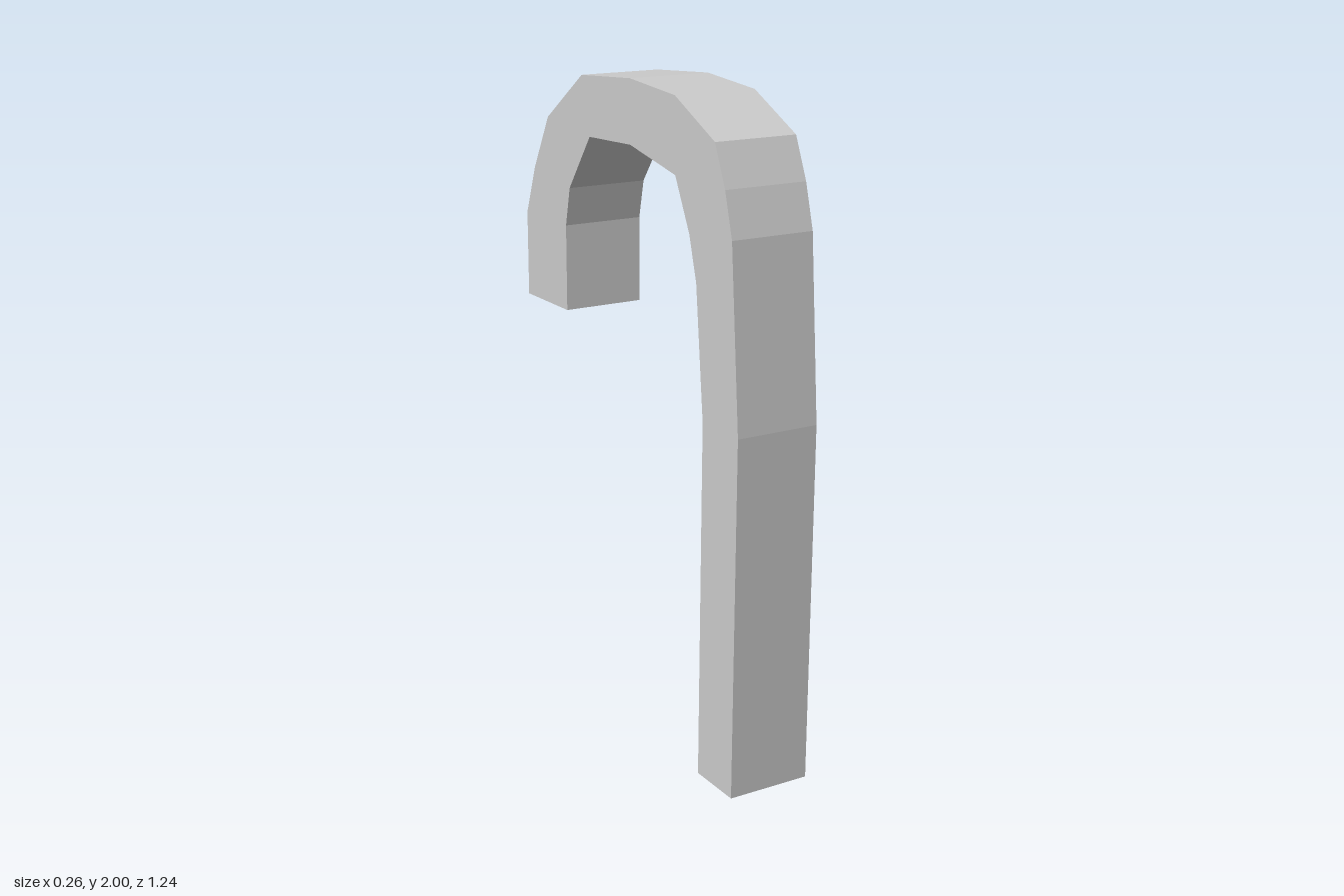
import * as THREE from 'three';

export function createModel() {
  const group = new THREE.Group();
  const width = 0.26;

  // Side profile as [z, y]: outer edge from the foot over the bend to the tip
  const outer = [
    [0.605, 0], [0.618, 1.09], [0.578, 1.63], [0.542, 1.76], [0.49, 1.88], [0.285, 1.98],
    [0.04, 2], [-0.245, 1.98], [-0.465, 1.83], [-0.56, 1.66], [-0.618, 1.51], [-0.618, 1.243],
  ];
  // Inner edge from the tip back to the foot
  const inner = [
    [-0.357, 1.243], [-0.357, 1.51], [-0.33, 1.63], [-0.2, 1.803], [0.04, 1.812],
    [0.288, 1.762], [0.363, 1.61], [0.4, 1.48], [0.438, 1.09], [0.425, 0],
  ];

  // Extrude across the width, then turn the profile into the z-y plane
  const shape = new THREE.Shape([...outer, ...inner].map(([z, y]) => new THREE.Vector2(-z, y)));
  const geometry = new THREE.ExtrudeGeometry(shape, { depth: width, bevelEnabled: false });
  geometry.translate(0, 0, -width / 2);
  geometry.rotateY(Math.PI / 2);

  const material = new THREE.MeshStandardMaterial({ color: 0xcccccc, flatShading: true });
  const hook = new THREE.Mesh(geometry, material);
  hook.name = 'hookedCane';
  group.add(hook);
  return group;
}
